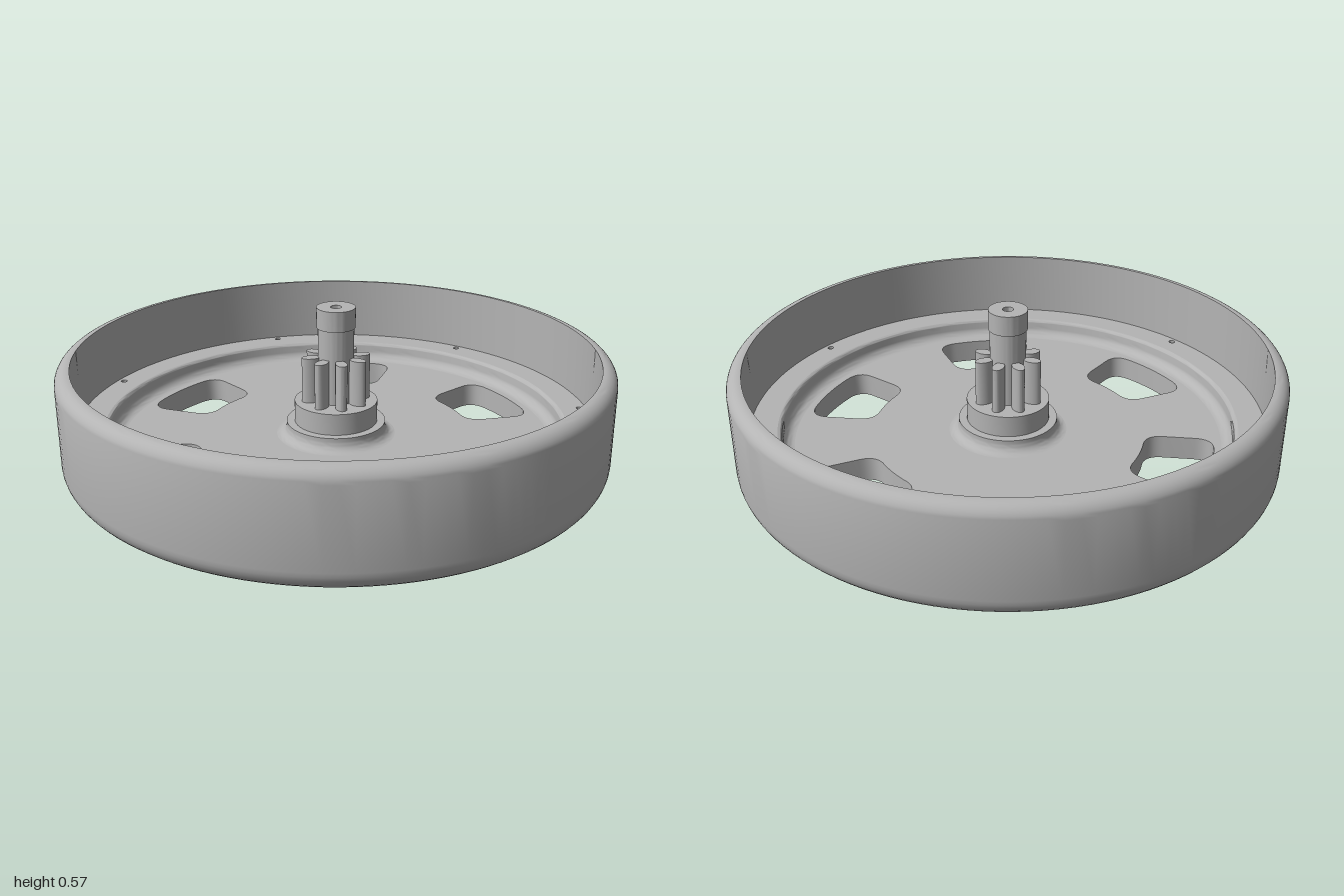
import * as THREE from 'three';
import { toCreasedNormals } from 'three/addons/utils/BufferGeometryUtils.js';

const PI = Math.PI;
const TURN = PI * 2;

// Points of an arc in a lathe profile
function arc(cx, cy, r, a0, a1, n = 8) {
  return Array.from({ length: n + 1 }, (_, i) => {
    const a = a0 + ((a1 - a0) * i) / n;
    return [cx + r * Math.cos(a), cy + r * Math.sin(a)];
  });
}

function circlePoints(x, y, r, n) {
  return Array.from({ length: n }, (_, i) =>
    new THREE.Vector2(x + r * Math.cos((TURN * i) / n), y + r * Math.sin((TURN * i) / n)));
}

// Sector window with rounded corners, from angle a0 to a1 and radius r0 to r1
function windowPoints(a0, a1, r0, r1, c) {
  const p = (r, a) => [r * Math.cos(a), r * Math.sin(a)];
  const inner = c / r0;
  const outer = c / r1;
  const path = new THREE.Path();
  path.moveTo(...p(r0 + c, a0));
  path.lineTo(...p(r1 - c, a0));
  path.quadraticCurveTo(...p(r1, a0), ...p(r1, a0 + outer));
  path.absarc(0, 0, r1, a0 + outer, a1 - outer, false);
  path.quadraticCurveTo(...p(r1, a1), ...p(r1 - c, a1));
  path.lineTo(...p(r0 + c, a1));
  path.quadraticCurveTo(...p(r0, a1), ...p(r0, a1 - inner));
  path.absarc(0, 0, r0, a1 - inner, a0 + inner, true);
  path.quadraticCurveTo(...p(r0, a0), ...p(r0 + c, a0));
  return path.getPoints(8);
}

export function createModel() {
  const group = new THREE.Group();
  const grey = new THREE.MeshStandardMaterial({ color: 0xb4b4b4 });
  grey.name = 'light grey';

  function add(name, geometry) {
    const mesh = new THREE.Mesh(geometry, grey);
    mesh.name = name;
    group.add(mesh);
    return mesh;
  }
  function turned(name, profile, segments = 128) {
    const points = profile.map(([x, y]) => new THREE.Vector2(x, y));
    return add(name, toCreasedNormals(new THREE.LatheGeometry(points, segments), 0.6));
  }
  function plate(name, outline, holes, y0, y1) {
    const shape = new THREE.Shape(outline);
    shape.holes = holes.map((h) => new THREE.Path(h));
    const g = new THREE.ExtrudeGeometry(shape, { depth: y1 - y0, bevelEnabled: false });
    g.rotateX(-PI / 2).translate(0, y0, 0);
    return add(name, toCreasedNormals(g, 0.6));
  }

  // Floor with six windows and the axle bore
  const windows = Array.from({ length: 6 }, (_, i) =>
    windowPoints((i * PI) / 3, (i * PI) / 3 + PI / 6, 0.51, 0.765, 0.07));
  plate('floor', circlePoints(0, 0, 0.92, 128),
    [...windows, circlePoints(0, 0, 0.06, 32)], 0, 0.09);

  // Outer wall with rounded edges
  turned('outerWall', [
    ...arc(0.92, 0.08, 0.08, -PI / 2, 0),
    ...arc(0.95, 0.36, 0.05, 0, PI / 2),
    [0.945, 0.41], [0.945, 0.16],
  ]);

  // Ledge inside the wall with seven small holes
  const screwSpots = Array.from({ length: 7 }, (_, i) => {
    const a = (-8.1 * PI) / 180 + (TURN * i) / 7;
    return [0.92 * Math.cos(a), 0.92 * Math.sin(a)];
  });
  plate('ledge', circlePoints(0, 0, 0.945, 128),
    [circlePoints(0, 0, 0.845, 128), ...screwSpots.map(([x, y]) => circlePoints(x, y, 0.012, 16))],
    0.11, 0.16);
  for (const [x, y] of screwSpots) {
    const g = new THREE.CircleGeometry(0.013, 16).rotateX(-PI / 2);
    add('screwHoleBottom', g).position.set(x, 0.115, -y);
  }

  // Rounded step from the ledge to the floor
  turned('ledgeStep', [
    ...arc(0.845, 0.145, 0.015, PI / 2, PI),
    ...arc(0.79, 0.13, 0.04, 0, -PI / 2),
  ]);

  // Hub with flange, boss and shaft
  turned('hub', [
    ...arc(0.22, 0.127, 0.037, PI * 1.5, PI),
    [0.183, 0.14], [0.153, 0.14], [0.153, 0.22], [0.066, 0.22],
    [0.066, 0.5], [0.071, 0.5], [0.071, 0.575],
    [0.02, 0.575], [0.02, 0.475], [0, 0.475],
  ], 64);
  turned('axleBore', [[0, 0.3], [0.06, 0.3], [0.06, 0.09]], 32);

  // Eight rounded gear teeth around the shaft
  for (let i = 0; i < 8; i++) {
    const outline = circlePoints(0, 0, 1, 24).map((p) =>
      new THREE.Vector2(0.093 + p.x * 0.034, p.y * 0.021));
    plate('gearTooth', outline, [], 0.21, 0.39).rotation.y = (i * PI) / 4;
  }

  return group;
}
